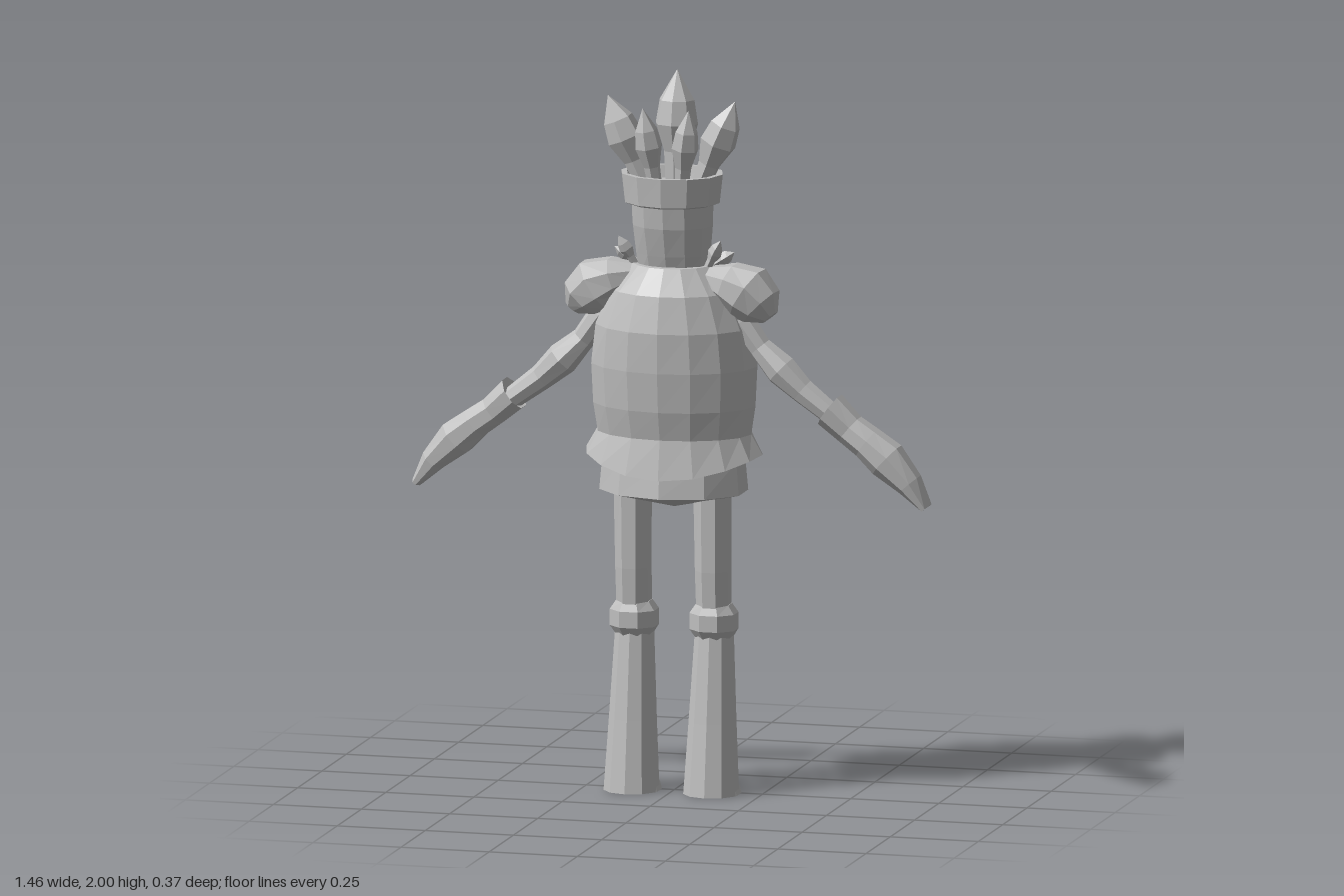
import * as THREE from 'three';

const V = (x, y, z) => new THREE.Vector3(x, y, z);

export function createModel() {
  const model = new THREE.Group();
  const grey = new THREE.MeshStandardMaterial({ color: 0xbfbfbf, side: THREE.DoubleSide, flatShading: true });

  // Skin a list of equal-length rings; caps close the ends with a fan
  function skin(name, rings, capStart = true, capEnd = true) {
    const pos = [];
    const tri = (a, b, c) => pos.push(...a.toArray(), ...b.toArray(), ...c.toArray());
    const n = rings[0].length;
    for (let i = 0; i < rings.length - 1; i++) {
      for (let j = 0; j < n; j++) {
        const k = (j + 1) % n, lo = rings[i], hi = rings[i + 1];
        tri(lo[j], lo[k], hi[k]);
        tri(lo[j], hi[k], hi[j]);
      }
    }
    const cap = (ring, flip) => {
      const mid = ring.reduce((s, p) => s.add(p), V(0, 0, 0)).divideScalar(n);
      ring.forEach((p, j) => {
        const q = ring[(j + 1) % n];
        flip ? tri(mid, q, p) : tri(mid, p, q);
      });
    };
    if (capStart) cap(rings[0], true);
    if (capEnd) cap(rings[rings.length - 1], false);
    const g = new THREE.BufferGeometry();
    g.setAttribute('position', new THREE.Float32BufferAttribute(pos, 3));
    g.computeVertexNormals();
    const mesh = new THREE.Mesh(g, grey);
    mesh.name = name;
    model.add(mesh);
  }

  // Elliptical ring around centre c, facing direction d: r across, rz in depth
  function ring(c, d, r, rz, n, phase = 0) {
    const u = V(0, 0, 1).addScaledVector(d, -d.z).normalize();
    const v = d.clone().cross(u);
    return Array.from({ length: n }, (_, j) => {
      const a = (j / n) * Math.PI * 2 + phase;
      return c.clone().addScaledVector(u, Math.cos(a) * rz).addScaledVector(v, Math.sin(a) * r);
    });
  }

  // Tube through rows of [x, y, z, r, rz]
  function tube(name, rows, n, phase = 0, capStart = true, capEnd = true) {
    const pts = rows.map(([x, y, z]) => V(x, y, z));
    const rings = rows.map((row, i) => {
      const d = pts[Math.min(i + 1, pts.length - 1)].clone().sub(pts[Math.max(i - 1, 0)]).normalize();
      return ring(pts[i], d, row[3], row[4] ?? row[3], n, phase);
    });
    skin(name, rings, capStart, capEnd);
  }

  // Upright form through rows of [y, rx, rz, z, x]
  function upright(name, rows, n, phase = 0, capStart = true, capEnd = true) {
    skin(name, rows.map(([y, rx, rz, z = 0, x = 0]) =>
      ring(V(x, y, z), V(0, 1, 0), rx, rz, n, phase)), capStart, capEnd);
  }

  // Pointed crystal or leaf from base to tip
  function spike(name, base, tip, r, n = 6) {
    const rows = [[0, 0.5], [0.32, 0.6], [0.55, 1], [0.75, 0.82], [1, 0.02]].map(([t, k]) =>
      [...base.clone().lerp(tip, t).toArray(), r * k]);
    tube(name, rows, n);
  }

  // Body
  upright('torso', [[0.96, 0.2, 0.14], [1.0, 0.218, 0.152], [1.08, 0.23, 0.17], [1.19, 0.235, 0.18],
    [1.3, 0.222, 0.18], [1.4, 0.18, 0.158], [1.47, 0.115, 0.11]], 16);
  upright('pelvis', [[0.79, 0.002, 0.002], [0.838, 0.208, 0.16, 0.007], [0.93, 0.2, 0.147, 0.007],
    [0.98, 0.195, 0.14]], 10);

  // Flared tunic hem, higher at the sides with two points at the rear
  const hemTop = ring(V(0, 1.0, 0), V(0, 1, 0), 0.218, 0.152, 16);
  const hemLow = ring(V(0, 0.89, 0), V(0, 1, 0), 0.25, 0.172, 16);
  hemLow.forEach((p, j) => {
    p.y += 0.055 * Math.sin((j / 16) * Math.PI * 2) ** 2;
    if (j === 7 || j === 9) p.set(Math.sign(p.x) * 0.12, 0.9, -0.185);
    if (j === 8) p.z = -0.155;
  });
  skin('tunicHem', [hemLow, hemTop], false, false);

  // Head and crown band
  upright('head', [[1.44, 0.098, 0.068, 0.01], [1.5, 0.106, 0.085, 0.012], [1.58, 0.114, 0.1, 0.018],
    [1.69, 0.118, 0.108, 0.022]], 12);
  upright('crownBand', [[1.64, 0.122, 0.108, 0.024], [1.645, 0.135, 0.116, 0.024], [1.725, 0.144, 0.122, 0.024],
    [1.725, 0.128, 0.108, 0.024], [1.68, 0.112, 0.1, 0.024]], 12, 0, false, false);

  // Crown crystals
  spike('tallCrystal', V(0, 1.67, -0.02), V(0, 2.0, -0.03), 0.06, 8);
  for (const s of [-1, 1]) {
    spike('sideCrystal', V(s * 0.07, 1.67, 0.02), V(s * 0.18, 1.93, 0.03), 0.052);
    spike('frontCrystal', V(s * 0.035, 1.67, 0.06), V(s * 0.065, 1.91, 0.092), 0.038);
    spike('rearStem', V(s * 0.06, 1.67, -0.02), V(s * 0.115, 1.84, -0.02), 0.025);
  }

  for (const s of [-1, 1]) {
    // Shoulder pad with little leaves
    tube('shoulderPad', [[0.1, 1.44, 0.02, 0.03, 0.05], [0.16, 1.425, 0.022, 0.058, 0.085],
      [0.215, 1.4, 0.025, 0.08, 0.093], [0.255, 1.365, 0.028, 0.064, 0.076],
      [0.28, 1.335, 0.03, 0.025, 0.03]].map(([x, ...r]) => [s * x, ...r]), 8, Math.PI / 8);
    spike('collarLeaf', V(s * 0.1, 1.46, 0.03), V(s * 0.145, 1.545, 0.05), 0.02, 4);
    spike('collarLeaf', V(s * 0.1, 1.46, 0.0), V(s * 0.17, 1.505, 0.0), 0.02, 4);

    // Arm, then glove with a flared cuff
    tube('arm', [[0.1, 1.44, 0.025, 0.03], [0.2, 1.32, 0.025, 0.036], [0.25, 1.25, 0.025, 0.033],
      [0.31, 1.19, 0.025, 0.046], [0.37, 1.135, 0.025, 0.036], [0.47, 1.06, 0.025, 0.03]]
      .map(([x, ...r]) => [s * x, ...r]), 8);
    tube('glove', [[0.47, 1.06, 0.025, 0.028, 0.03], [0.448, 1.087, 0.025, 0.05, 0.067],
      [0.505, 1.035, 0.025, 0.044, 0.056], [0.555, 1.0, 0.025, 0.046, 0.062], [0.61, 0.955, 0.025, 0.054, 0.066],
      [0.675, 0.89, 0.025, 0.036, 0.056], [0.722, 0.826, 0.025, 0.014, 0.04]]
      .map(([x, ...r]) => [s * x, ...r]), 8, Math.PI / 8);

    // Leg with knee band
    const x = s * 0.113;
    upright('thigh', [[0.5, 0.048, 0.054, 0.004, x], [0.62, 0.05, 0.054, 0.012, x],
      [0.86, 0.053, 0.05, 0.02, x]], 8, Math.PI / 8);
    upright('kneeBand', [[0.43, 0.052, 0.05, 0, x], [0.455, 0.068, 0.066, 0.003, x],
      [0.5, 0.068, 0.066, 0.003, x], [0.525, 0.05, 0.053, 0.004, x]], 8, Math.PI / 8);
    upright('shin', [[0, 0.077, 0.072, 0.032, x], [0.2, 0.066, 0.062, 0.018, x],
      [0.44, 0.054, 0.052, 0, x]], 10);

    // Foot: sole drawn out to a point
    const sole = ring(V(x, 0, 0.02), V(0, 1, 0), 0.08, 0.08, 10);
    sole[5].set(x + s * 0.01, 0, -0.18);
    for (const j of [4, 6]) sole[j].z = -0.095;
    skin('foot', [sole, ring(V(x, 0.07, 0.02), V(0, 1, 0), 0.06, 0.065, 10)]);
  }
  return model;
}
